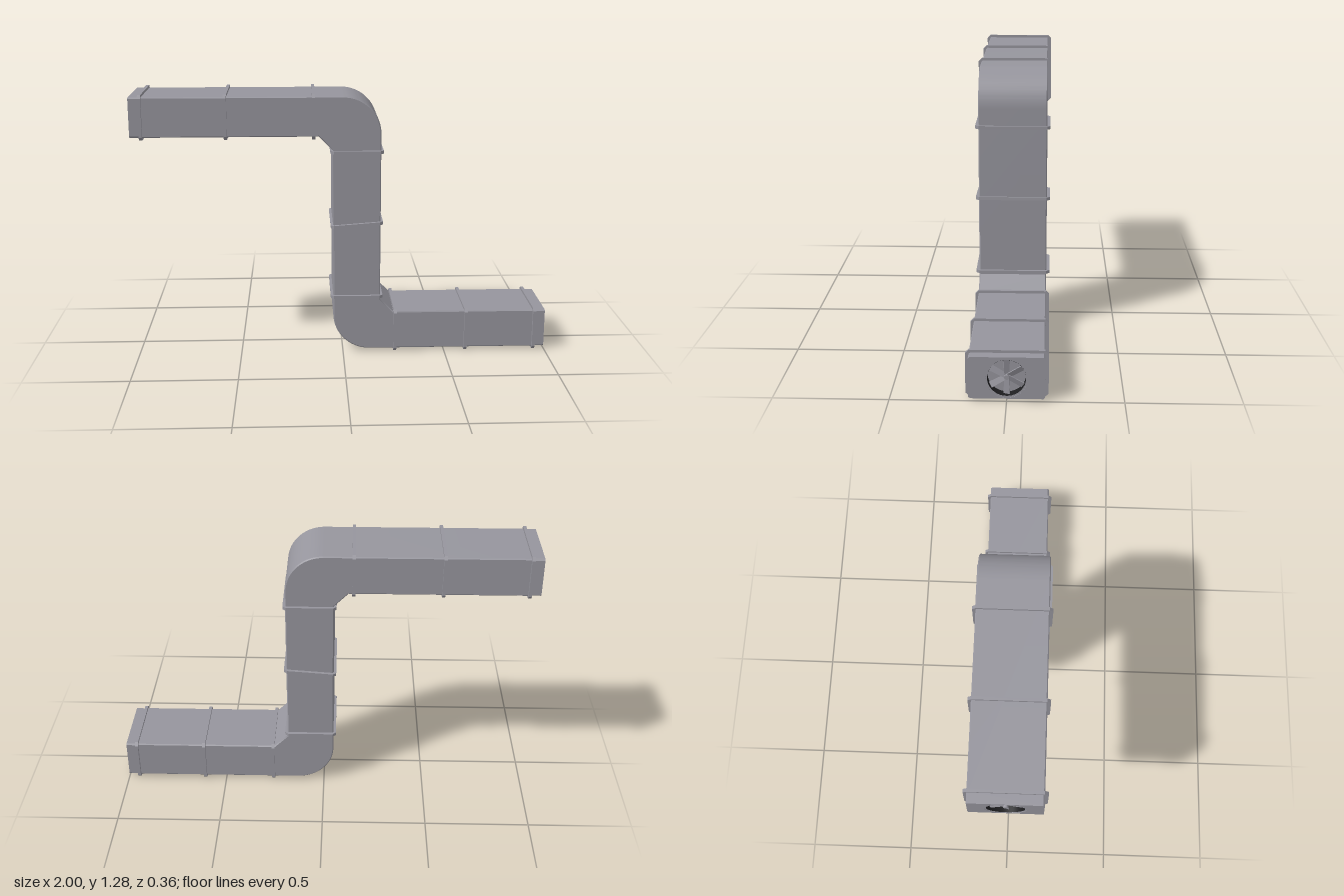
import * as THREE from 'three';
import { toCreasedNormals } from 'three/addons/utils/BufferGeometryUtils.js';

const HALF_DEPTH = 0.163; // duct half width along z
const DUCT_H = 0.19;      // height of the horizontal runs
const SHAFT_W = 0.229;    // width of the vertical run
const SHAFT_X = 0.067;
const LOW_Y = 0.107, HIGH_Y = 1.174;

// Rectangle with cut corners, centred on the origin
function cutRect(w, h, c, Type = THREE.Shape) {
  const x = w / 2, y = h / 2;
  return new Type([
    [-x + c, -y], [x - c, -y], [x, -y + c], [x, y - c],
    [x - c, y], [-x + c, y], [-x, y - c], [-x, -y + c],
  ].map(([a, b]) => new THREE.Vector2(a, b)));
}

// Extrusion centred on z = 0
function plate(shape, depth, curveSegments = 12) {
  const g = new THREE.ExtrudeGeometry(shape, { depth, bevelEnabled: false, curveSegments });
  return g.translate(0, 0, -depth / 2);
}

export function createModel() {
  const model = new THREE.Group();
  model.name = 'ventilationDuct';
  const metal = new THREE.MeshStandardMaterial({ color: 0x96959d });
  metal.name = 'duct grey';
  const dark = new THREE.MeshStandardMaterial({ color: 0x1e1e20, side: THREE.DoubleSide });
  dark.name = 'vent black';

  const add = (parent, name, geometry, material = metal) => {
    const mesh = new THREE.Mesh(toCreasedNormals(geometry, 0.6), material);
    mesh.name = name;
    parent.add(mesh);
    return mesh;
  };

  // Duct body: one S-shaped side profile with rounded outer and cut inner elbows
  const lowBottom = LOW_Y - DUCT_H / 2, lowTop = LOW_Y + DUCT_H / 2;
  const highBottom = HIGH_Y - DUCT_H / 2, highTop = HIGH_Y + DUCT_H / 2;
  const left = SHAFT_X - SHAFT_W / 2, right = SHAFT_X + SHAFT_W / 2;
  const r = 0.18;
  const s = new THREE.Shape();
  s.moveTo(-0.955, highBottom);
  s.lineTo(left - 0.067, highBottom);
  s.lineTo(left, highBottom - 0.067);
  s.lineTo(left, lowBottom + r);
  s.absarc(left + r, lowBottom + r, r, Math.PI, Math.PI * 1.5, false);
  s.lineTo(0.955, lowBottom);
  s.lineTo(0.955, lowTop);
  s.lineTo(right + 0.067, lowTop);
  s.lineTo(right, lowTop + 0.067);
  s.lineTo(right, highTop - r);
  s.absarc(right - r, highTop - r, r, 0, Math.PI / 2, false);
  s.lineTo(-0.955, highTop);
  s.closePath();
  const bevel = 0.005;
  const body = new THREE.ExtrudeGeometry(s, {
    depth: 2 * (HALF_DEPTH - bevel), curveSegments: 16,
    bevelEnabled: true, bevelSegments: 1,
    bevelSize: bevel, bevelThickness: bevel, bevelOffset: -bevel,
  });
  add(model, 'ductBody', body.translate(0, 0, -(HALF_DEPTH - bevel)));

  // Joint flanges: thin frames standing proud of the duct
  function flangeGeometry(w, h) {
    const frame = cutRect(w + 0.024, h + 0.024, 0.016);
    frame.holes.push(cutRect(w - 0.01, h - 0.01, 0.004, THREE.Path));
    return plate(frame, 0.015);
  }
  const flangeDepth = 2 * HALF_DEPTH + 0.006;
  const runs = [
    [HIGH_Y, [-0.947, -0.552, -0.138]],
    [LOW_Y, [0.257, 0.607, 0.947]],
  ];
  for (const [y, xs] of runs) {
    for (const x of xs) {
      const g = flangeGeometry(flangeDepth, DUCT_H).rotateY(Math.PI / 2);
      add(model, 'ductFlange', g).position.set(x, y, 0);
    }
  }
  for (const [y, tilt] of [[1.003, 0], [0.647, 0.075], [0.284, 0]]) {
    const g = flangeGeometry(SHAFT_W, flangeDepth).rotateX(Math.PI / 2);
    const flange = add(model, 'shaftFlange', g);
    flange.position.set(SHAFT_X, y, 0);
    flange.rotation.z = tilt;
  }

  // End caps with a round opening and a fan inside, built facing +z
  function endCap(name) {
    const cap = new THREE.Group();
    cap.name = name;
    const face = cutRect(2 * HALF_DEPTH, DUCT_H, 0.007);
    face.holes.push(new THREE.Path().absarc(0, 0, 0.09, 0, Math.PI * 2, true));
    add(cap, 'capPlate', plate(face, 0.05, 24)).position.z = -0.025;

    // Rim just inside the opening, with a dark lining behind it
    const rim = new THREE.Shape().absarc(0, 0, 0.091, 0, Math.PI * 2, false);
    rim.holes.push(new THREE.Path().absarc(0, 0, 0.083, 0, Math.PI * 2, true));
    add(cap, 'fanRim', plate(rim, 0.03, 24)).position.z = -0.017;
    const lining = new THREE.CylinderGeometry(0.0825, 0.0825, 0.047, 48, 1, true);
    add(cap, 'ventLining', lining.rotateX(Math.PI / 2), dark).position.z = -0.0255;

    const fan = new THREE.Group();
    fan.name = 'fan';
    fan.position.z = -0.02;
    cap.add(fan);
    add(fan, 'fanHub', new THREE.CylinderGeometry(0.011, 0.011, 0.03, 16).rotateX(Math.PI / 2));
    const blade = new THREE.Shape([
      [-0.011, 0.006], [0.011, 0.006], [0.014, 0.08], [-0.014, 0.08],
    ].map(([x, y]) => new THREE.Vector2(x, y)));
    for (let i = 0; i < 6; i++) {
      const g = plate(blade, 0.004).rotateY(0.35).rotateZ(i * Math.PI / 3);
      add(fan, 'fanBlade', g);
    }
    model.add(cap);
    return cap;
  }
  const lower = endCap('lowerEndCap');
  lower.position.set(1, LOW_Y, 0);
  lower.rotation.y = Math.PI / 2;
  const upper = endCap('upperEndCap');
  upper.position.set(-1, HIGH_Y, 0);
  upper.rotation.y = -Math.PI / 2;

  return model;
}
